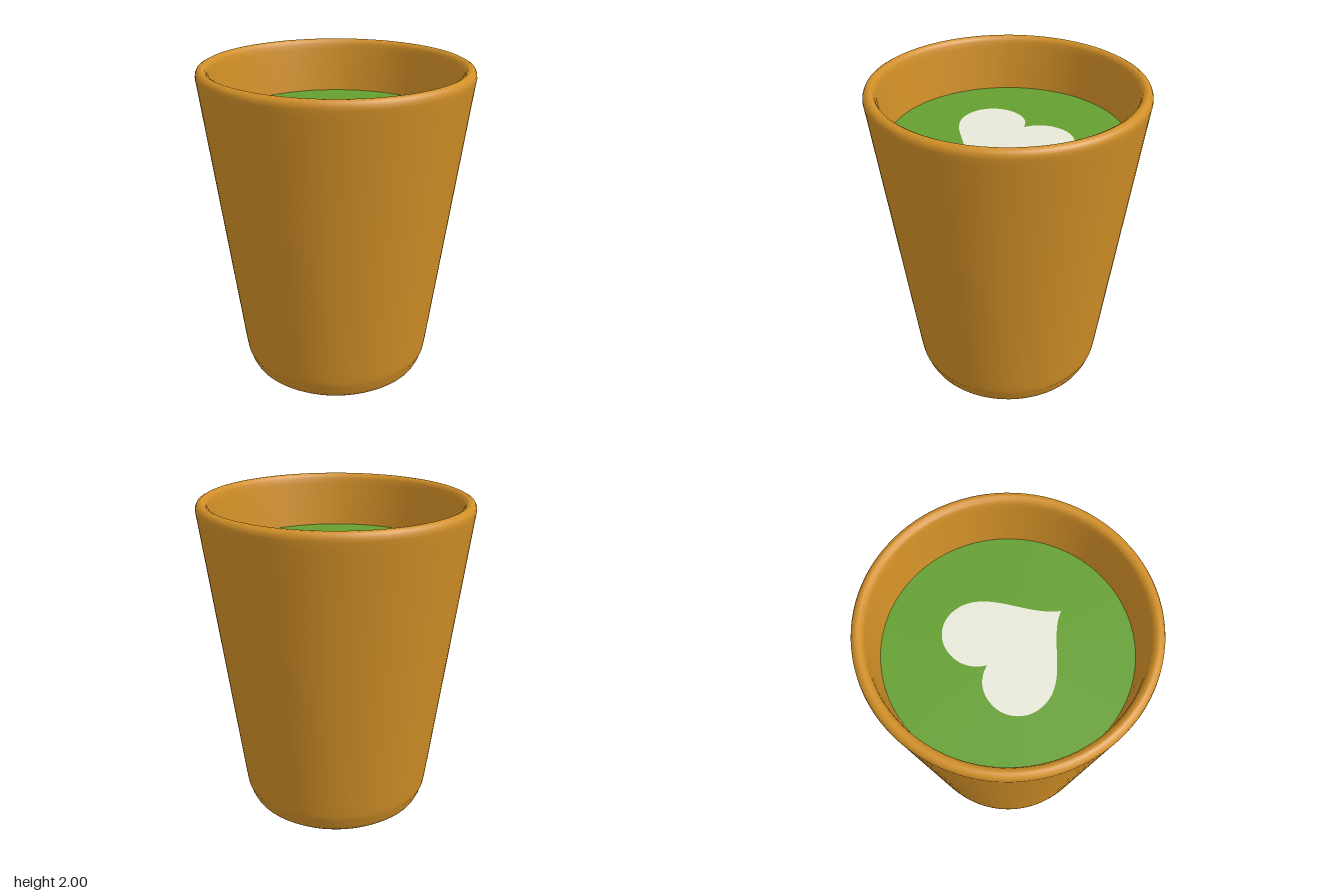
import * as THREE from 'three';

const SEGMENTS = 96;
const LIQUID_Y = 1.662;
const BASE_RADIUS = 0.48;

function material(name, color) {
  const m = new THREE.MeshStandardMaterial({ color });
  m.name = name;
  return m;
}

function addPart(group, name, geometry, mat, y = 0) {
  const mesh = new THREE.Mesh(geometry, mat);
  mesh.name = name;
  mesh.position.y = y;
  group.add(mesh);
}

// Heart outline; its point faces the front once laid flat
function heartShape() {
  const s = new THREE.Shape();
  s.moveTo(0, 0.15);
  s.bezierCurveTo(0.035, 0.23, 0.1, 0.275, 0.19, 0.275);
  s.bezierCurveTo(0.3, 0.275, 0.385, 0.19, 0.385, 0.08);
  s.bezierCurveTo(0.385, -0.14, 0.1, -0.21, 0, -0.39);
  s.bezierCurveTo(-0.1, -0.21, -0.385, -0.14, -0.385, 0.08);
  s.bezierCurveTo(-0.385, 0.19, -0.3, 0.275, -0.19, 0.275);
  s.bezierCurveTo(-0.1, 0.275, -0.035, 0.23, 0, 0.15);
  return s;
}

export function createModel() {
  const group = new THREE.Group();
  group.name = 'cup';

  const clay = material('ochre clay', 0xd18f27);
  const tea = material('green tea', 0x649f30);
  const foam = material('milk foam', 0xe8e8da);
  const black = material('black base', 0x050505);

  // Tapered wall: rounded foot, small step, rolled rim, then the inside
  const profile = [
    [BASE_RADIUS, 0], [0.505, 0.002], [0.54, 0.012], [0.566, 0.033], [0.582, 0.065],
    [0.587, 0.095], [0.599, 0.115], [0.605, 0.15], [0.612, 0.2],
    [0.824, 1.9], [0.831, 1.95], [0.829, 1.972], [0.82, 1.99], [0.802, 2],
    [0.787, 2], [0.77, 1.99], [0.761, 1.972], [0.756, 1.94],
    [0.72, LIQUID_Y], [0.54, 0.2], [0.5, 0.12], [0.46, 0.1], [0, 0.1],
  ].map(([x, y]) => new THREE.Vector2(x, y));
  addPart(group, 'cupBody', new THREE.LatheGeometry(profile, SEGMENTS), clay);

  // Underside of the foot
  const base = new THREE.CircleGeometry(BASE_RADIUS, SEGMENTS).rotateX(Math.PI / 2);
  addPart(group, 'cupBase', base, black);

  // Drink surface
  const surface = new THREE.CircleGeometry(0.721, SEGMENTS).rotateX(-Math.PI / 2);
  addPart(group, 'drinkSurface', surface, tea, LIQUID_Y);

  // Foam heart resting on the drink
  const heart = new THREE.ShapeGeometry(heartShape(), 24).rotateX(-Math.PI / 2);
  addPart(group, 'foamHeart', heart, foam, LIQUID_Y + 0.003);

  return group;
}
